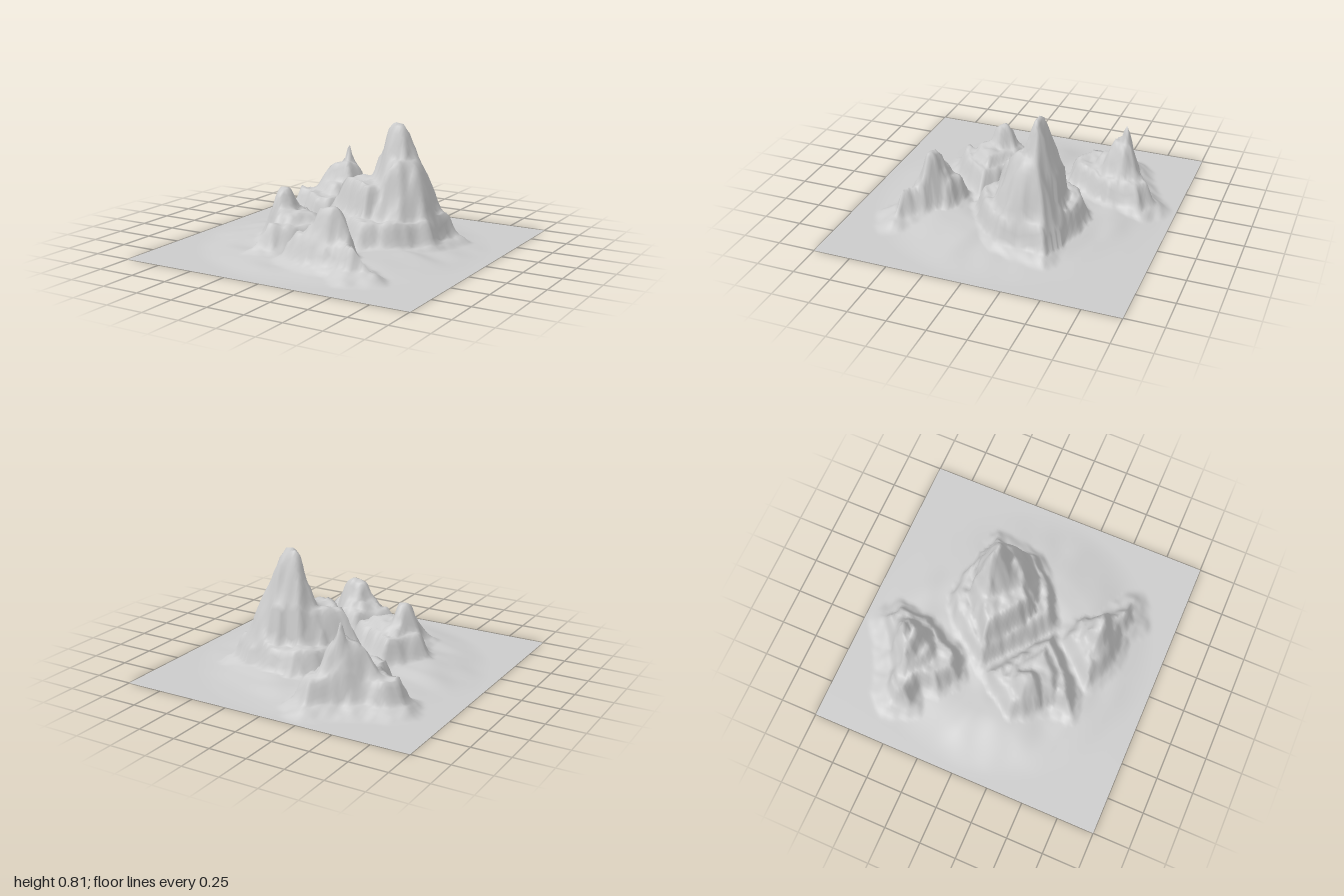
import * as THREE from 'three';

// Each tier is a mesa step: ground outline [x, z], base and top height, width of its sloping edge.
const tier = (base, top, width, outline) => ({ base, top, width, outline });

// The first tier of each mountain is its foot.
const mainMountain = [
  tier(0.06, 0.21, 0.06, [[-0.28, -0.12], [-0.18, -0.25], [-0.02, -0.44], [0.1, -0.53], [0.27, -0.51], [0.45, -0.45], [0.63, -0.39], [0.61, -0.06], [0.46, 0.11], [0.2, 0.25], [0.02, 0.12]]),
  tier(0.17, 0.42, 0.08, [[-0.21, -0.13], [-0.06, -0.25], [0.12, -0.39], [0.3, -0.38], [0.4, -0.2], [0.34, 0.0], [0.2, 0.12], [0.06, 0.06]]),
  tier(0.12, 0.58, 0.2, [[-0.03, -0.18], [0.04, -0.38], [0.26, -0.45], [0.46, -0.45], [0.6, -0.38], [0.59, -0.1], [0.46, 0.06], [0.24, 0.13]]),
  tier(0.4, 0.8, 0.13, [[0.05, -0.2], [0.13, -0.35], [0.34, -0.37], [0.47, -0.29], [0.41, -0.09], [0.2, -0.08]]),
];

const backMountain = [
  tier(0.06, 0.21, 0.06, [[-0.74, -0.56], [-0.66, -0.63], [-0.55, -0.66], [-0.36, -0.76], [-0.22, -0.86], [-0.1, -0.78], [-0.1, -0.55], [-0.27, -0.24], [-0.4, -0.21], [-0.54, -0.31], [-0.56, -0.43], [-0.7, -0.43]]),
  tier(0.18, 0.28, 0.07, [[-0.58, -0.55], [-0.4, -0.69], [-0.22, -0.77], [-0.16, -0.68], [-0.22, -0.48], [-0.34, -0.36], [-0.46, -0.42]]),
  tier(0.22, 0.41, 0.08, [[-0.57, -0.56], [-0.4, -0.7], [-0.25, -0.74], [-0.18, -0.62], [-0.25, -0.46], [-0.42, -0.47]]),
  tier(0.38, 0.64, 0.065, [[-0.39, -0.62], [-0.33, -0.68], [-0.27, -0.62], [-0.33, -0.56]]),
];

const leftMountain = [
  tier(0.06, 0.21, 0.07, [[-0.51, 0.2], [-0.42, 0.03], [-0.32, -0.08], [-0.16, 0.03], [0.13, 0.24], [0.03, 0.36], [-0.2, 0.57], [-0.34, 0.57], [-0.34, 0.42], [-0.48, 0.28]]),
  tier(0.16, 0.26, 0.07, [[-0.43, 0.18], [-0.35, 0.02], [-0.16, 0.1], [0.04, 0.25], [-0.15, 0.44], [-0.3, 0.46]]),
  tier(0.21, 0.38, 0.07, [[-0.43, 0.23], [-0.35, 0.1], [-0.24, 0.13], [-0.18, 0.24], [-0.25, 0.35], [-0.37, 0.35]]),
];

const frontMountain = [
  tier(0.06, 0.21, 0.07, [[-0.12, 0.6], [-0.02, 0.46], [0.1, 0.31], [0.28, 0.34], [0.37, 0.48], [0.5, 0.6], [0.57, 0.66], [0.44, 0.73], [0.32, 0.67], [0.12, 0.7]]),
  tier(0.16, 0.27, 0.06, [[-0.02, 0.55], [0.1, 0.39], [0.28, 0.4], [0.37, 0.53], [0.32, 0.64], [0.12, 0.65]]),
  tier(0.2, 0.39, 0.07, [[0.04, 0.53], [0.14, 0.43], [0.28, 0.44], [0.38, 0.54], [0.3, 0.62], [0.14, 0.62]]),
];

const mountains = [mainMountain, backMountain, leftMountain, frontMountain];

// Distance to an outline, positive inside and negative outside
function insideDistance(x, z, outline) {
  let best = Infinity;
  let inside = false;
  outline.forEach(([ax, az], i) => {
    const [bx, bz] = outline[(i + 1) % outline.length];
    const dx = bx - ax, dz = bz - az;
    const t = THREE.MathUtils.clamp(((x - ax) * dx + (z - az) * dz) / (dx * dx + dz * dz), 0, 1);
    best = Math.min(best, Math.hypot(x - ax - t * dx, z - az - t * dz));
    if ((az > z) !== (bz > z) && x < ax + (dx * (z - az)) / dz) inside = !inside;
  });
  return inside ? best : -best;
}

// Smooth repeatable value noise, from -1 to 1
function noise(x, z) {
  const hash = (i, j) => {
    const s = Math.sin(i * 127.1 + j * 311.7) * 43758.5453;
    return 2 * (s - Math.floor(s)) - 1;
  };
  const i = Math.floor(x), j = Math.floor(z);
  const u = THREE.MathUtils.smoothstep(x - i, 0, 1);
  const v = THREE.MathUtils.smoothstep(z - j, 0, 1);
  const { lerp } = THREE.MathUtils;
  return lerp(lerp(hash(i, j), hash(i + 1, j), u), lerp(hash(i, j + 1), hash(i + 1, j + 1), u), v);
}

const erosion = (x, z) => 0.55 * noise(10 * x, 10 * z) + 0.45 * noise(25 * x, 25 * z);

function heightAt(x, z) {
  // low rolling apron, fading to flat at the border
  const fade = 1 - THREE.MathUtils.smoothstep(Math.hypot(x, z), 0.55, 0.97);
  let height = fade * (0.045 + 0.02 * noise(4 * x + 2 * z, 7 * z - 2 * x));

  // stepped mountains with eroded outlines
  const wx = x + 0.022 * erosion(x, z);
  const wz = z + 0.022 * erosion(z + 5, x + 5);
  const wear = erosion(x + 9, z + 9);
  for (const mountain of mountains) {
    // scree sloping up to the foot
    const footDistance = insideDistance(wx, wz, mountain[0].outline);
    const scree = THREE.MathUtils.smoothstep(footDistance, -0.12, 0.02);
    height = Math.max(height, (0.065 + 0.015 * wear) * scree);

    for (const { base, top, width, outline } of mountain) {
      const d = insideDistance(wx, wz, outline);
      if (d <= 0) continue;
      const t = Math.min(d / width, 1);
      const rise = 0.5 * t + 0.5 * THREE.MathUtils.smoothstep(t, 0, 1);
      height = Math.max(height, base + (top - base) * rise + 0.025 * rise * wear);
    }
  }
  return Math.max(height, 0);
}

export function createModel() {
  const model = new THREE.Group();
  model.name = 'mountainTerrain';

  // square sheet raised into mountains, open underneath
  const geometry = new THREE.PlaneGeometry(2, 2, 110, 110).rotateX(-Math.PI / 2);
  const position = geometry.attributes.position;
  for (let i = 0; i < position.count; i++) {
    position.setY(i, heightAt(position.getX(i), position.getZ(i)));
  }
  geometry.computeVertexNormals();

  const terrain = new THREE.Mesh(
    geometry,
    new THREE.MeshStandardMaterial({ color: 0xcccccc, side: THREE.DoubleSide })
  );
  terrain.name = 'terrain';
  model.add(terrain);
  return model;
}
